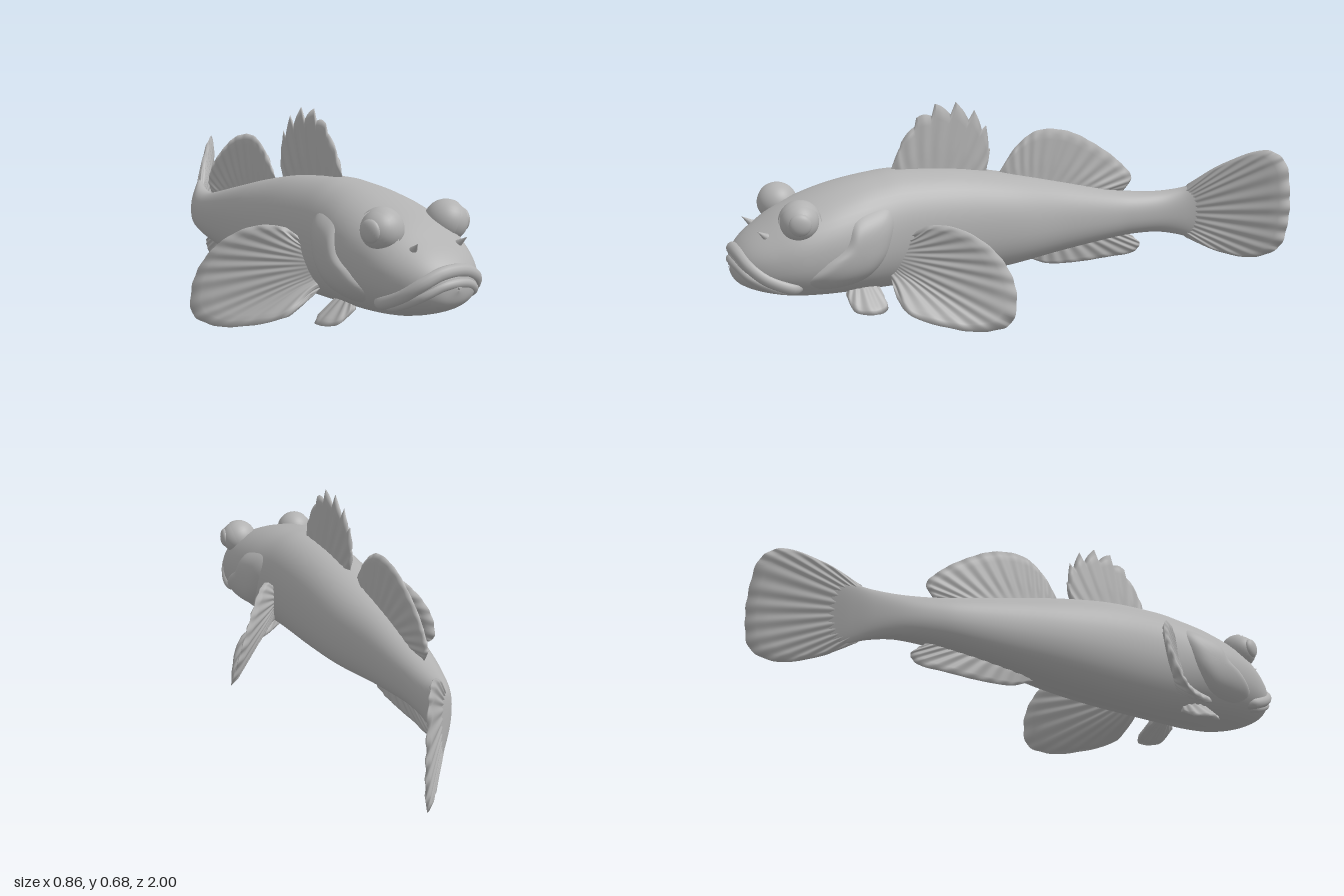
import * as THREE from 'three';
import { mergeVertices } from 'three/addons/utils/BufferGeometryUtils.js';

const skin = new THREE.MeshStandardMaterial({ color: 0xb2b2b2 });
skin.name = 'grey skin';
const V = (x, y, z) => new THREE.Vector3(x, y, z);
const P = 2.2; // roundness of the body sections

// Body stations: z, spine x, half width, top y, bottom y
const stations = [
  [0.99, 0, 0.004, 0.225, 0.212], [0.975, 0, 0.068, 0.268, 0.172], [0.94, 0, 0.118, 0.308, 0.146],
  [0.88, 0, 0.158, 0.35, 0.122], [0.8, 0, 0.186, 0.397, 0.102], [0.7, 0, 0.196, 0.432, 0.09],
  [0.6, 0, 0.19, 0.456, 0.083], [0.5, 0, 0.174, 0.47, 0.077], [0.4, 0, 0.165, 0.474, 0.073],
  [0.2, 0.002, 0.157, 0.455, 0.071], [0, 0.007, 0.142, 0.415, 0.08], [-0.2, 0.012, 0.11, 0.364, 0.1],
  [-0.4, 0.025, 0.083, 0.312, 0.12], [-0.5, 0.041, 0.07, 0.292, 0.129], [-0.6, 0.067, 0.055, 0.285, 0.13],
  [-0.68, 0.1, 0.039, 0.295, 0.117], [-0.74, 0.137, 0.022, 0.315, 0.1], [-0.8, 0.187, 0.004, 0.32, 0.1],
];
const curveA = new THREE.CatmullRomCurve3(stations.map(s => V(s[0], s[1], s[2])), false, 'catmullrom');
const curveB = new THREE.CatmullRomCurve3(stations.map(s => V(s[0], s[3], s[4])), false, 'catmullrom');
function section(t) {
  const a = curveA.getPoint(t), b = curveB.getPoint(t);
  return { z: a.x, x: a.y, w: Math.max(a.z, 0.001), mid: (b.y + b.z) / 2, h: Math.max((b.y - b.z) / 2, 0.001) };
}
const samples = Array.from({ length: 1601 }, (_, i) => section(i / 1600));
const at = z => samples.find(s => s.z <= z) || samples[1600];
const sideX = (z, y) => {
  const s = at(z), d = Math.min(1, Math.abs((y - s.mid) / s.h));
  return s.x + s.w * (1 - d ** P) ** (1 / P);
};
const frontZ = (x, y) =>
  samples.find(s => Math.abs(x / s.w) ** P + Math.abs((y - s.mid) / s.h) ** P <= 1).z;
const spineX = z => (z > -0.7 ? at(z).x : 0.11 - (z + 0.7) * 0.82);

// Smooth surface from a rule over u and v
function grid(fn, nu, nv) {
  const pos = [], idx = [];
  for (let i = 0; i <= nu; i++) for (let j = 0; j <= nv; j++) {
    const p = fn(i / nu, j / nv);
    pos.push(p.x, p.y, p.z);
    if (i < nu && j < nv) {
      const a = i * (nv + 1) + j, b = a + nv + 1;
      idx.push(a, b, a + 1, b, b + 1, a + 1);
    }
  }
  let g = new THREE.BufferGeometry();
  g.setAttribute('position', new THREE.Float32BufferAttribute(pos, 3));
  g.setIndex(idx);
  g = mergeVertices(g, 1e-5);
  g.computeVertexNormals();
  return g;
}

function mirror(geo) {
  const g = geo.clone().scale(-1, 1, 1), a = g.index.array;
  for (let i = 0; i < a.length; i += 3) [a[i], a[i + 1]] = [a[i + 1], a[i]];
  return g;
}

// Ribbed fin between a base line and a rim, closed and thinning to its edge
function fin(basePts, rimPts, rays, thick, notch = 0) {
  const base = new THREE.CatmullRomCurve3(basePts), rim = new THREE.CatmullRomCurve3(rimPts);
  const point = (u, v) => base.getPoint(u).lerp(rim.getPoint(u), v);
  const nv = 10, e = 0.01;
  return grid((u, w) => {
    const v = 1 - Math.abs(1 - 2 * w), side = w < 0.5 ? 1 : -1;
    const uc = Math.min(1 - e, Math.max(e, u)), vc = Math.max(0.1, Math.min(0.95, v));
    const du = point(uc + e, vc).sub(point(uc - e, vc));
    const dv = point(uc, vc + e).sub(point(uc, vc - e));
    const n = du.cross(dv).normalize();
    const rib = 0.5 - 0.5 * Math.cos(2 * Math.PI * rays * u);
    const ends = Math.min(1, 12 * u, 12 * (1 - u));
    const t = v > 0.999 ? 0 : ends * (thick * (1 - 0.75 * v) + 0.0045 * rib * Math.min(1, 3 * v));
    const saw = notch * ((u * rays) % 1) * Math.sin(Math.PI * u) + 0.007 * (1 - rib) * ends;
    return point(u, v * (1 - saw * v)).addScaledVector(n, side * t);
  }, rays * 10, nv * 2);
}
const onSpine = pts => pts.map(([z, y]) => V(spineX(z), y, z));

export function createModel() {
  const model = new THREE.Group();
  model.name = 'fish';
  const add = (name, geo) => {
    const m = new THREE.Mesh(geo, skin);
    m.name = name;
    model.add(m);
  };
  const pair = (name, geo) => { add('left' + name, geo); add('right' + name, mirror(geo)); };

  // Body
  const pw = c => Math.sign(c) * Math.abs(c) ** (2 / P);
  add('body', grid((u, v) => {
    const s = section(u), a = (v % 1) * 2 * Math.PI;
    return V(s.x + s.w * pw(Math.cos(a)), s.mid + s.h * pw(Math.sin(a)), s.z);
  }, 110, 48));

  // Lips follow the front of the head, ends sunk into the cheeks
  const lip = (pts, r) => {
    const half = pts.map(([x, y]) => V(x, y, frontZ(x, y) - 0.009));
    const last = half[half.length - 1];
    half.push(V(last.x - 0.035, last.y + 0.003, last.z - 0.03));
    const left = half.slice(1).reverse().map(p => V(-p.x, p.y, p.z));
    return new THREE.TubeGeometry(new THREE.CatmullRomCurve3([...left, ...half]), 72, r, 12);
  };
  add('upperLip', lip([[0, 0.269], [0.05, 0.263], [0.1, 0.238], [0.135, 0.2], [0.15, 0.165]], 0.021));
  add('lowerLip', lip([[0, 0.235], [0.05, 0.228], [0.095, 0.203], [0.122, 0.173], [0.132, 0.155]], 0.015));

  // Eyes: ball, lid over the inner half, and bulging iris
  pair('Eye', new THREE.SphereGeometry(0.062, 32, 20).translate(0.13, 0.376, 0.79));
  pair('EyeLid', new THREE.SphereGeometry(0.068, 32, 16, 0, Math.PI * 2, 0, Math.PI * 0.55)
    .rotateZ(1.2).rotateY(-0.3).translate(0.125, 0.376, 0.787));
  pair('Iris', new THREE.SphereGeometry(0.036, 24, 16).scale(0.5, 1, 1)
    .rotateY(-0.25).translate(0.178, 0.378, 0.802));

  // Nostril spikes stand out from the snout
  pair('Nostril', new THREE.ConeGeometry(0.018, 0.06, 14).rotateX(0.85).rotateZ(-0.35)
    .translate(0.088, 0.333, frontZ(0.088, 0.327) + 0.004));

  // Gill covers: raised pads on the cheeks
  const outline = new THREE.CatmullRomCurve3([
    [0.62, 0.365], [0.56, 0.388], [0.49, 0.39], [0.475, 0.36], [0.49, 0.29], [0.52, 0.22],
    [0.58, 0.158], [0.66, 0.135], [0.75, 0.142], [0.79, 0.18], [0.74, 0.235], [0.66, 0.29],
  ].map(([z, y]) => V(0, y, z)), true);
  pair('GillCover', grid((u, v) => {
    const p = V(0, 0.26, 0.61).lerp(outline.getPoint((1 - v) % 1), u);
    p.x = sideX(p.z, p.y) - 0.008 + 0.026 * (1 - u ** 5);
    return p;
  }, 14, 60));

  // Fins on the midline
  add('firstDorsalFin', fin(onSpine([[0.42, 0.455], [0.25, 0.44], [0.08, 0.41]]),
    onSpine([[0.425, 0.475], [0.38, 0.575], [0.31, 0.66], [0.23, 0.692], [0.14, 0.668], [0.08, 0.615], [0.055, 0.52], [0.07, 0.43]]),
    8, 0.014, 0.2));
  add('secondDorsalFin', fin(onSpine([[0.01, 0.4], [-0.2, 0.35], [-0.42, 0.295]]),
    onSpine([[0.02, 0.42], [-0.05, 0.51], [-0.13, 0.555], [-0.25, 0.542], [-0.36, 0.485], [-0.46, 0.41], [-0.51, 0.345], [-0.48, 0.295]]),
    13, 0.014));
  add('analFin', fin(onSpine([[-0.49, 0.15], [-0.3, 0.135], [-0.08, 0.11]]),
    onSpine([[-0.51, 0.12], [-0.55, 0.085], [-0.53, 0.055], [-0.42, 0.042], [-0.28, 0.04], [-0.17, 0.052], [-0.09, 0.088]]),
    11, 0.012));
  add('tailFin', fin(onSpine([[-0.7, 0.292], [-0.69, 0.21], [-0.7, 0.122]]),
    onSpine([[-0.71, 0.312], [-0.81, 0.4], [-0.93, 0.457], [-0.98, 0.42], [-1, 0.3], [-1, 0.19], [-0.98, 0.09], [-0.91, 0.043], [-0.81, 0.055], [-0.71, 0.104]]),
    15, 0.014));

  // Paired fins, rooted inside the body
  pair('PectoralFin', fin([V(0.11, 0.14, 0.48), V(0.14, 0.2, 0.45), V(0.14, 0.27, 0.42)],
    [V(0.17, 0.125, 0.495), V(0.27, 0.06, 0.485), V(0.35, 0.016, 0.37), V(0.4, 0.003, 0.265), V(0.432, 0.03, 0.19),
      V(0.415, 0.12, 0.162), V(0.38, 0.2, 0.175), V(0.33, 0.27, 0.22), V(0.265, 0.32, 0.295), V(0.205, 0.325, 0.37), V(0.165, 0.285, 0.425)],
    15, 0.02));
  pair('PelvicFin', fin([V(0.08, 0.14, 0.61), V(0.07, 0.135, 0.57), V(0.06, 0.13, 0.53)],
    [V(0.1, 0.095, 0.635), V(0.165, 0.052, 0.625), V(0.195, 0.043, 0.56), V(0.16, 0.045, 0.51), V(0.08, 0.085, 0.515)],
    6, 0.012));
  return model;
}
